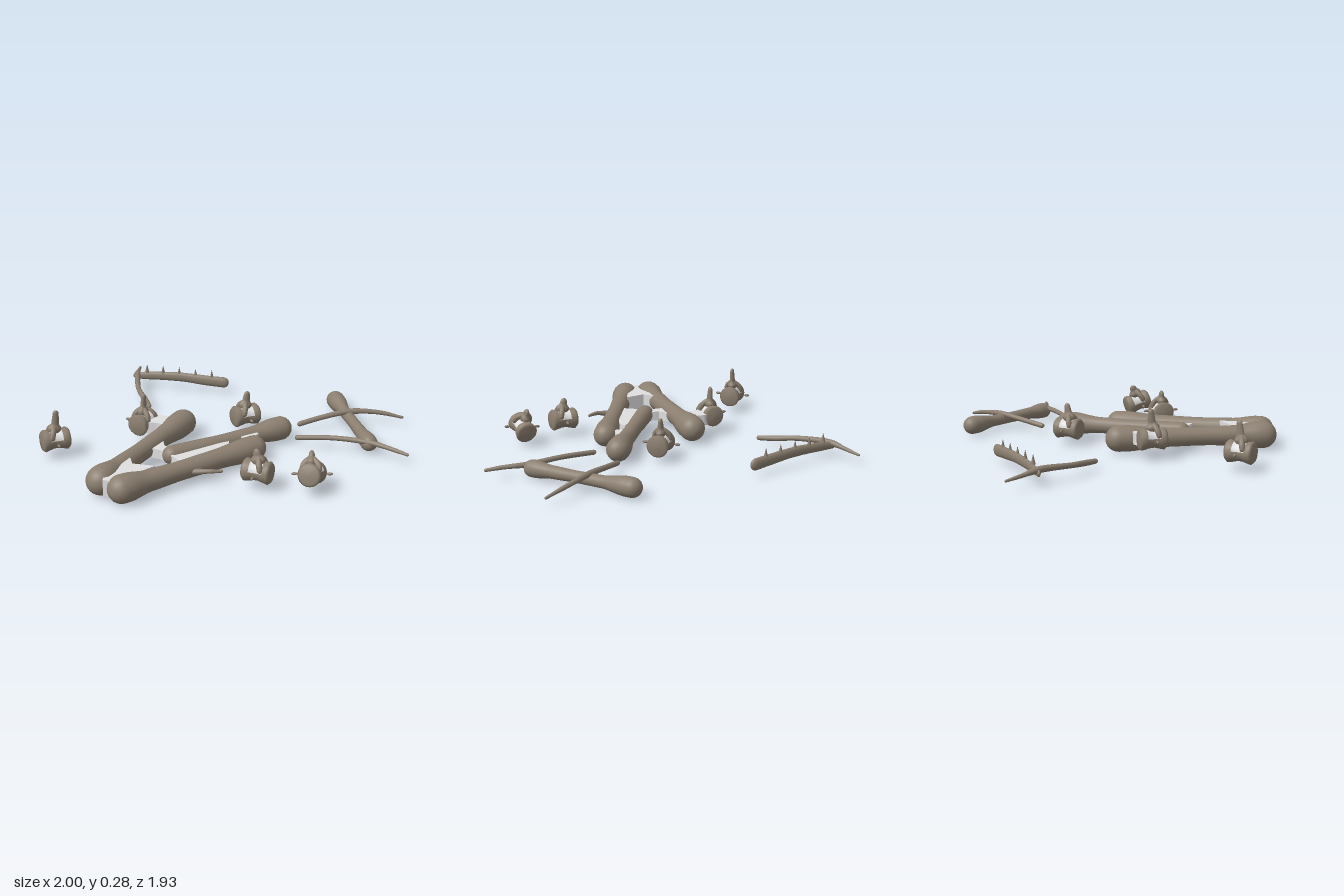
import * as THREE from 'three';

const bone = new THREE.MeshStandardMaterial({ color: 0x8b7f70, side: THREE.DoubleSide });
bone.name = 'weathered bone';
const pale = new THREE.MeshStandardMaterial({ color: 0xdfdfdf, side: THREE.DoubleSide });
pale.name = 'pale tissue';

function add(parent, name, geometry, material = bone) {
  const mesh = new THREE.Mesh(geometry, material);
  mesh.name = name;
  parent.add(mesh);
  return mesh;
}

// Round-ended limb through points [x, y, z, radius]; sideScale and upScale flatten it.
function limb(points, sideScale = 1, upScale = 1, rings = 40, sides = 16) {
  const curve = new THREE.CatmullRomCurve3(points.map(p => new THREE.Vector3(p[0], p[1], p[2])));
  const total = curve.getLength();
  const span = curve.getPoint(1).sub(curve.getPoint(0)).normalize();
  const ref = Math.abs(span.y) > 0.7 ? new THREE.Vector3(0, 0, 1) : new THREE.Vector3(0, 1, 0);
  const pos = [], index = [];
  for (let i = 0; i <= rings; i++) {
    const u = (1 - Math.cos(Math.PI * i / rings)) / 2;
    const t = curve.getUtoTmapping(u);
    const c = curve.getPoint(t), dir = curve.getTangent(t);
    const side = dir.clone().cross(ref).normalize();
    const up = side.clone().cross(dir);
    const f = t * (points.length - 1), k = Math.min(Math.floor(f), points.length - 2);
    const s = THREE.MathUtils.smoothstep(f - k, 0, 1);
    let r = THREE.MathUtils.lerp(points[k][3], points[k + 1][3], s);
    const d = Math.min(u, 1 - u) * total;
    if (d < r) r *= Math.sqrt(Math.max(0, 1 - (1 - d / r) ** 2));
    for (let j = 0; j < sides; j++) {
      const a = j / sides * Math.PI * 2;
      const p = c.clone().addScaledVector(side, Math.cos(a) * r * sideScale)
        .addScaledVector(up, Math.sin(a) * r * upScale);
      pos.push(p.x, p.y, p.z);
      if (i < rings) {
        const n = (j + 1) % sides, b = i * sides;
        index.push(b + j, b + sides + j, b + n, b + n, b + sides + j, b + sides + n);
      }
    }
  }
  const g = new THREE.BufferGeometry();
  g.setAttribute('position', new THREE.Float32BufferAttribute(pos, 3));
  g.setIndex(index);
  g.computeVertexNormals();
  return g;
}

// Straight long bone: knobbed at both ends, slimmer along the shaft.
function longBone(a, b, ra, waist, rb) {
  const at = (t, r) => [0, 1, 2].map(i => a[i] + (b[i] - a[i]) * t).concat(r);
  return limb([at(0, ra), at(0.12, ra), at(0.33, waist * 1.05), at(0.55, waist),
    at(0.75, waist * 1.1), at(0.9, rb), at(1, rb)], 1, 1, 56, 20);
}

// Flat web of tissue outlined in x, z between two heights.
function web(outline, low, high) {
  const shape = new THREE.Shape(outline.map(([x, z]) => new THREE.Vector2(x, z)));
  const g = new THREE.ExtrudeGeometry(shape, { depth: high - low, bevelEnabled: false });
  g.rotateX(Math.PI / 2);
  return g.translate(0, high, 0);
}

// Vertebra: flared body, pale waist, upright spine and loose side splinters.
function vertebra(x, y, z, axisX, axisZ, spineTop, lean = 0) {
  const g = new THREE.Group();
  g.name = 'vertebra';
  const v = pts => pts.map(p => new THREE.Vector2(p[0], p[1]));
  const turn = (profile, start, sweep) =>
    new THREE.LatheGeometry(v(profile), 24, start, sweep).rotateX(Math.PI / 2);
  const waist = [[0.056, -0.035], [0.05, -0.015], [0.049, 0.01], [0.055, 0.035]];
  add(g, 'vertebraEnd', turn([[0, -0.08], [0.05, -0.078], [0.062, -0.065], [0.056, -0.035]], 0, Math.PI * 2));
  add(g, 'vertebraEnd', turn([[0.055, 0.035], [0.062, 0.062], [0.05, 0.076], [0, 0.078]], 0, Math.PI * 2));
  add(g, 'paleWaist', turn(waist, Math.PI - 1.4, 2.8), pale);
  add(g, 'vertebraWaist', turn(waist, Math.PI + 1.4, Math.PI * 2 - 2.8));
  const top = spineTop - y;
  add(g, 'spine', limb([[0, 0.03, 0, 0.045], [0, 0.065, 0, 0.04], [lean * 0.5, 0.095, -0.005, 0.022],
    [lean, top, -0.012, 0.016]], 0.7, 1, 24, 12));
  for (const s of [-1, 1]) {
    add(g, 'archLeg', limb([[s * 0.045, 0.01, 0.03, 0.016], [s * 0.038, 0.05, 0.02, 0.016], [0, 0.085, 0, 0.016]], 1, 1, 14, 10));
    const splinter = add(g, 'splinter', new THREE.SphereGeometry(1, 10, 8));
    splinter.scale.set(0.017, 0.008, 0.008);
    splinter.position.set(s * 0.093, 0, 0.005);
  }
  g.position.set(x, y, z);
  g.rotation.y = Math.atan2(axisX, axisZ);
  return g;
}

export function createModel() {
  const model = new THREE.Group();
  model.name = 'scatteredBones';

  // Large limb bones
  add(model, 'leftLeaningBone', longBone([-0.12, 0.085, 0.03], [0.20, 0.08, 0.96], 0.074, 0.052, 0.078));
  add(model, 'longestBone', longBone([0.405, 0.072, 0.05 - 0.1], [0.315, 0.08, 0.94], 0.068, 0.052, 0.076));
  add(model, 'middleBone', longBone([0.325, 0.075, -0.335], [0.175, 0.08, 0.47], 0.067, 0.045, 0.052));
  add(model, 'rearBone', longBone([0.17, 0.06, -0.865], [0.79, 0.055, -0.505], 0.053, 0.032, 0.047));

  // Pale webs joining the limb bones
  add(model, 'jointWeb', web([[0.13, 0.66], [0.20, 0.70], [0.30, 0.63], [0.30, 0.90], [0.25, 0.93], [0.20, 0.88]], 0.035, 0.125), pale);
  add(model, 'rightWeb', web([[0.29, 0.10], [0.32, 0.13], [0.35, 0.30], [0.34, 0.48], [0.27, 0.46], [0.19, 0.45], [0.22, 0.35]], 0.04, 0.1), pale);
  add(model, 'leftWeb', web([[0.04, 0.36], [0.10, 0.40], [0.16, 0.38], [0.19, 0.45], [0.13, 0.455], [0.06, 0.48]], 0.045, 0.1), pale);
  add(model, 'upperWeb', web([[0.30, -0.09], [0.335, -0.08], [0.345, 0.0], [0.30, 0.02]], 0.05, 0.105), pale);
  add(model, 'sideWeb', web([[-0.20, 0.24], [-0.17, 0.20], [-0.09, 0.17], [-0.05, 0.27], [-0.10, 0.29], [-0.16, 0.34]], 0.07, 0.135), pale);

  // Thin curved ribs
  const ribs = [
    [[0.64, 0.045, -0.96, 0.008], [0.54, 0.075, -0.86, 0.013], [0.44, 0.09, -0.72, 0.017], [0.37, 0.075, -0.58, 0.015], [0.305, 0.05, -0.42, 0.015]],
    [[1.0, 0.055, -0.565, 0.009], [0.90, 0.065, -0.54, 0.012], [0.78, 0.07, -0.51, 0.015], [0.61, 0.075, -0.40, 0.014], [0.435, 0.06, -0.265, 0.014]],
    [[0.52, 0.085, 0.355, 0.008], [0.47, 0.085, 0.415, 0.012], [0.42, 0.075, 0.445, 0.016], [0.35, 0.065, 0.50, 0.016]],
    [[-1.0, 0.055, -0.315, 0.007], [-0.93, 0.07, -0.245, 0.011], [-0.86, 0.085, -0.18, 0.018], [-0.68, 0.07, -0.045, 0.015], [-0.565, 0.055, 0.0, 0.016], [-0.465, 0.045, 0.045, 0.014]],
  ];
  for (const r of ribs) add(model, 'rib', limb(r, 1, 1, 36, 10));

  // Jaw with a row of pointed teeth
  add(model, 'jaw', limb([[-0.885, 0.07, -0.165, 0.02], [-0.78, 0.08, -0.24, 0.026], [-0.63, 0.085, -0.35, 0.029],
    [-0.50, 0.075, -0.445, 0.032], [-0.395, 0.068, -0.53, 0.034]], 0.55, 1, 36, 14));
  for (let i = 0; i < 5; i++) {
    const x = -0.81 + i * 0.083;
    const tooth = add(model, 'tooth', new THREE.ConeGeometry(0.013, 0.055, 8));
    tooth.position.set(x, 0.127 - i * 0.002, -0.52 + (-0.40 - x) * 0.74);
  }

  // Scattered vertebrae
  model.add(
    vertebra(0.08, 0.095, -0.22, -0.05, 0.16, 0.24),
    vertebra(-0.20, 0.115, 0.305, 0.04, 0.10, 0.28),
    vertebra(-0.36, 0.10, 0.795, -0.06, 0.18, 0.27),
    vertebra(0.66, 0.10, 0.24, 0.17, -0.08, 0.225),
  );
  const tipped = vertebra(0.875, 0.105, 0.06, 0.07, 0.13, 0.225);
  tipped.rotation.order = 'YXZ';
  tipped.rotation.x = -0.3;
  tipped.rotation.z = 0.15;
  model.add(tipped);

  return model;
}
